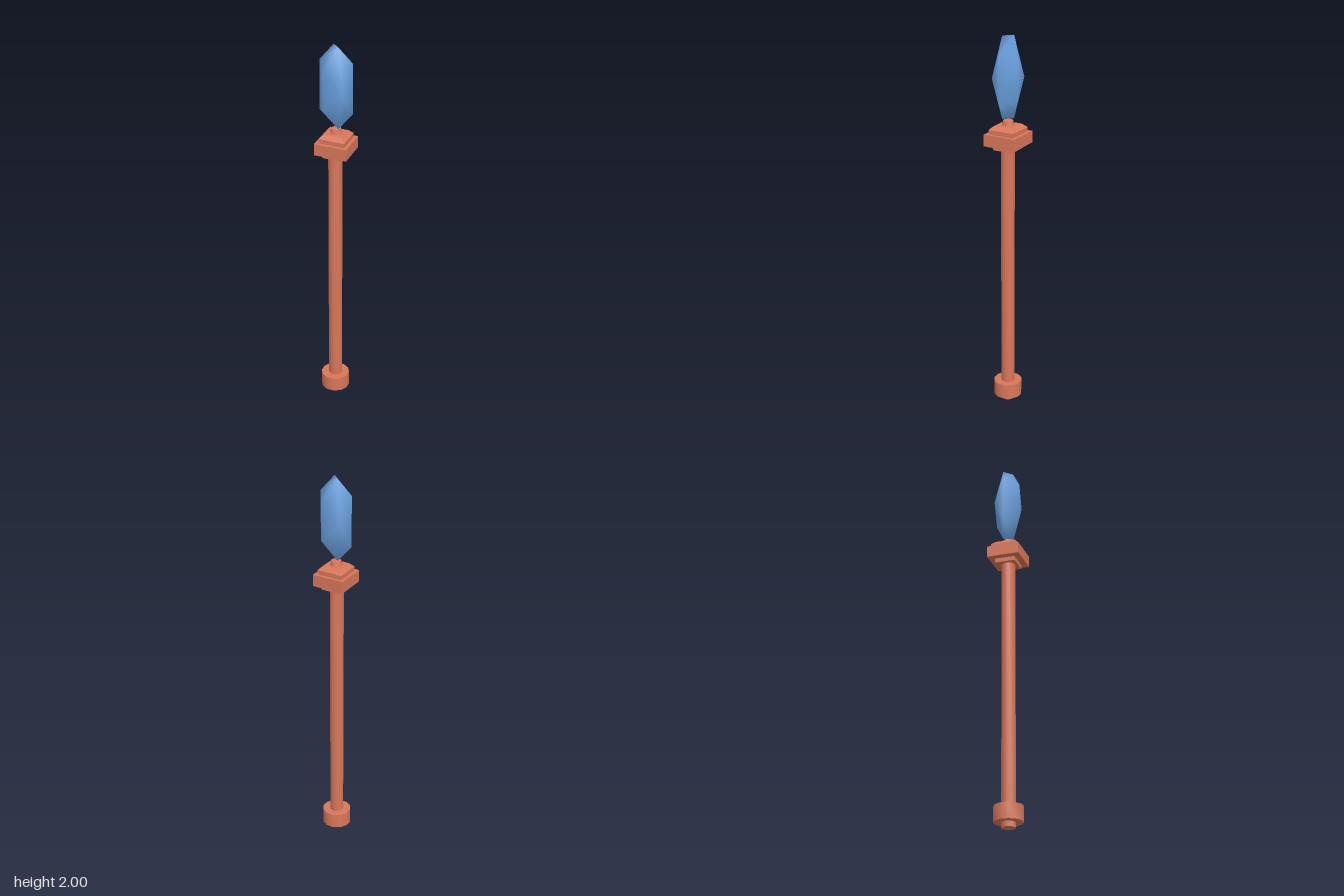
import * as THREE from 'three';
import { ConvexGeometry } from 'three/addons/geometries/ConvexGeometry.js';
import { mergeVertices, toCreasedNormals } from 'three/addons/utils/BufferGeometryUtils.js';

const copper = new THREE.MeshStandardMaterial({ color: 0xd9775a });
const crystalBlue = new THREE.MeshStandardMaterial({ color: 0x6aa2e0 });

// Turned part from [radius, height] pairs, bottom to top
function turned(name, profile, sides, crease) {
  const points = profile.map(([r, y]) => new THREE.Vector2(r, y));
  const geometry = toCreasedNormals(new THREE.LatheGeometry(points, sides).deleteAttribute('uv'), crease);
  const mesh = new THREE.Mesh(geometry, copper);
  mesh.name = name;
  return mesh;
}

// Elongated gem, symmetric under a half turn and top to bottom
function crystalGeometry() {
  const middle = 1.79;
  const corners = [[0, 0.21, 0.03], [0.079, 0.1, -0.028], [0.062, 0.13, 0.06], [0, 0, 0.082]];
  const points = [];
  for (const [x, h, z] of corners) {
    for (const turn of [1, -1]) {
      for (const flip of h ? [1, -1] : [1]) {
        points.push(new THREE.Vector3(x * turn, middle + h * flip, z * turn));
      }
    }
  }
  let geometry = new ConvexGeometry(points);
  geometry.deleteAttribute('normal');
  geometry = mergeVertices(geometry, 1e-4);
  geometry.computeVertexNormals();
  return geometry;
}

export function createModel() {
  const staff = new THREE.Group();
  staff.name = 'staff';

  // Round shaft, with its end showing below the foot
  const shaft = turned('shaft', [[0, 0], [0.036, 0], [0.036, 1.43], [0, 1.43]], 12, 0.8);
  const foot = turned('footRing', [[0, 0.027], [0.075, 0.027], [0.075, 0.108], [0, 0.108]], 12, 0.8);
  shaft.position.x = foot.position.x = -0.004;

  // Four-sided stepped collar, set as a diamond
  const collar = turned('collar', [
    [0, 1.423], [0.078, 1.423], [0.078, 1.447],
    [0.125, 1.447], [0.125, 1.508],
    [0.1, 1.508], [0.1, 1.53], [0.07, 1.55], [0, 1.55],
  ], 4, 0.3);
  collar.scale.x = 0.94;

  // Small tapered seat under the gem
  const seat = turned('crystalSeat', [[0, 1.545], [0.032, 1.545], [0.026, 1.573], [0, 1.583]], 8, 0.8);

  const crystal = new THREE.Mesh(crystalGeometry(), crystalBlue);
  crystal.name = 'crystal';

  staff.add(shaft, foot, collar, seat, crystal);
  return staff;
}
